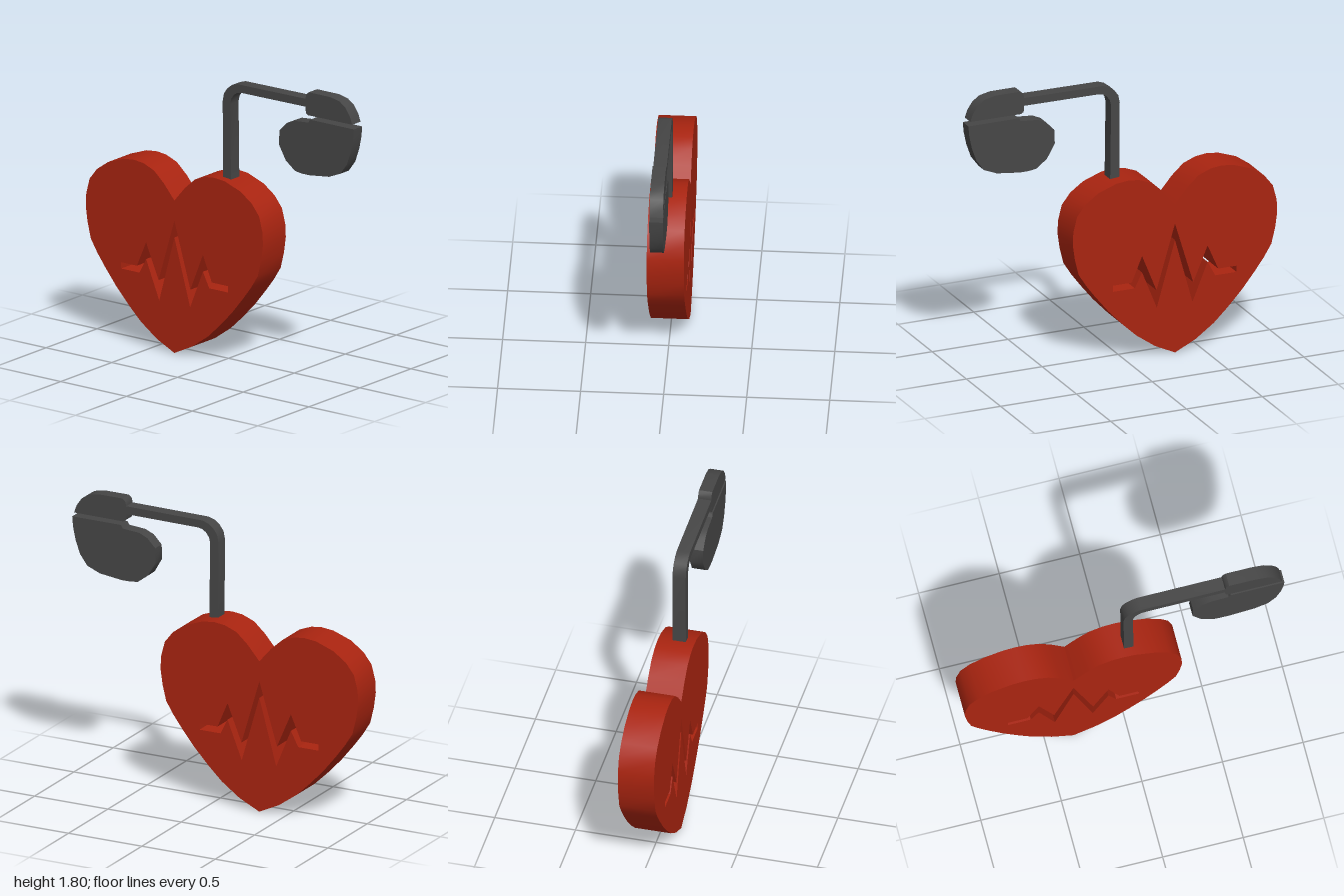
import * as THREE from 'three';
import { toCreasedNormals } from 'three/addons/utils/BufferGeometryUtils.js';

const red = new THREE.MeshStandardMaterial({ name: 'heart red', color: 0xa92410 });
const grey = new THREE.MeshStandardMaterial({ name: 'charcoal', color: 0x464646 });

const toPoints = (list) => list.map(([x, y]) => new THREE.Vector2(x, y));

// Flat slab from an outline, between two z values, smooth round its curved rim
function slab(name, outline, z0, z1, material, hole) {
  const shape = new THREE.Shape(toPoints(outline));
  if (hole) shape.holes.push(new THREE.Path(toPoints(hole)));
  const extruded = new THREE.ExtrudeGeometry(shape, { depth: z1 - z0, bevelEnabled: false });
  extruded.translate(0, 0, z0);
  const mesh = new THREE.Mesh(toCreasedNormals(extruded, 0.65), material);
  mesh.name = name;
  return mesh;
}

// Mirrors a half outline, running from one axis point to another, about x = axis
function mirrored(half, axis) {
  const inner = half.filter(([dx]) => dx > 0);
  return [
    ...half.map(([dx, y]) => [axis + dx, y]),
    ...inner.reverse().map(([dx, y]) => [axis - dx, y]),
  ];
}

export function createModel() {
  const model = new THREE.Group();
  model.name = 'heartWithArm';

  // Heart: half outline from the tip up to the notch, offsets from its axis
  const axis = -0.325;
  const heartHalf = [
    [0, 0], [0.135, 0.065], [0.255, 0.15], [0.345, 0.235], [0.44, 0.335], [0.525, 0.44],
    [0.585, 0.52], [0.635, 0.6], [0.66, 0.7], [0.674, 0.8], [0.67, 0.88], [0.645, 0.975],
    [0.59, 1.045], [0.505, 1.105], [0.385, 1.148], [0.305, 1.156], [0.235, 1.148],
    [0.155, 1.117], [0.08, 1.05], [0, 0.957],
  ];

  // Pulse line, cut right through the heart
  const pulseHole = [
    [-0.73, 0.495], [-0.61, 0.495], [-0.54, 0.655], [-0.445, 0.435], [-0.325, 0.83],
    [-0.203, 0.42], [-0.108, 0.655], [-0.04, 0.495], [0.083, 0.495], [0.083, 0.455],
    [-0.06, 0.455], [-0.108, 0.55], [-0.205, 0.308], [-0.325, 0.725], [-0.44, 0.308],
    [-0.54, 0.55], [-0.59, 0.455], [-0.73, 0.455],
  ];
  model.add(slab('heart', mirrored(heartHalf, axis), -0.112, 0.112, red, pulseHole));

  // Bent arm rising from the heart
  const back = -0.025, front = 0.057;
  model.add(slab('bentArm', [
    [0.003, 1.145], [0.063, 1.145], [0.057, 1.62], [0.065, 1.655], [0.085, 1.683],
    [0.11, 1.7], [0.14, 1.706], [0.64, 1.71], [0.64, 1.76], [0.11, 1.755], [0.07, 1.742],
    [0.035, 1.715], [0.01, 1.68], [0, 1.63],
  ], back, front, grey));

  // Upper part of the paddle, clamped on the arm
  model.add(slab('paddleCap', [
    [0.65, 1.66], [0.985, 1.662], [0.968, 1.71], [0.935, 1.758], [0.89, 1.79],
    [0.82, 1.805], [0.655, 1.805], [0.637, 1.79], [0.63, 1.765], [0.63, 1.69], [0.635, 1.67],
  ], back, front, grey));

  // Lower part of the paddle, below the narrow gap
  model.add(slab('paddlePad', [
    [0.998, 1.635], [0.665, 1.635], [0.652, 1.614], [0.54, 1.605], [0.485, 1.58],
    [0.432, 1.525], [0.428, 1.435], [0.48, 1.345], [0.55, 1.292], [0.6, 1.285],
    [0.66, 1.285], [0.81, 1.303], [0.895, 1.338], [0.945, 1.405], [0.975, 1.49], [0.992, 1.57],
  ], back, front, grey));

  return model;
}
